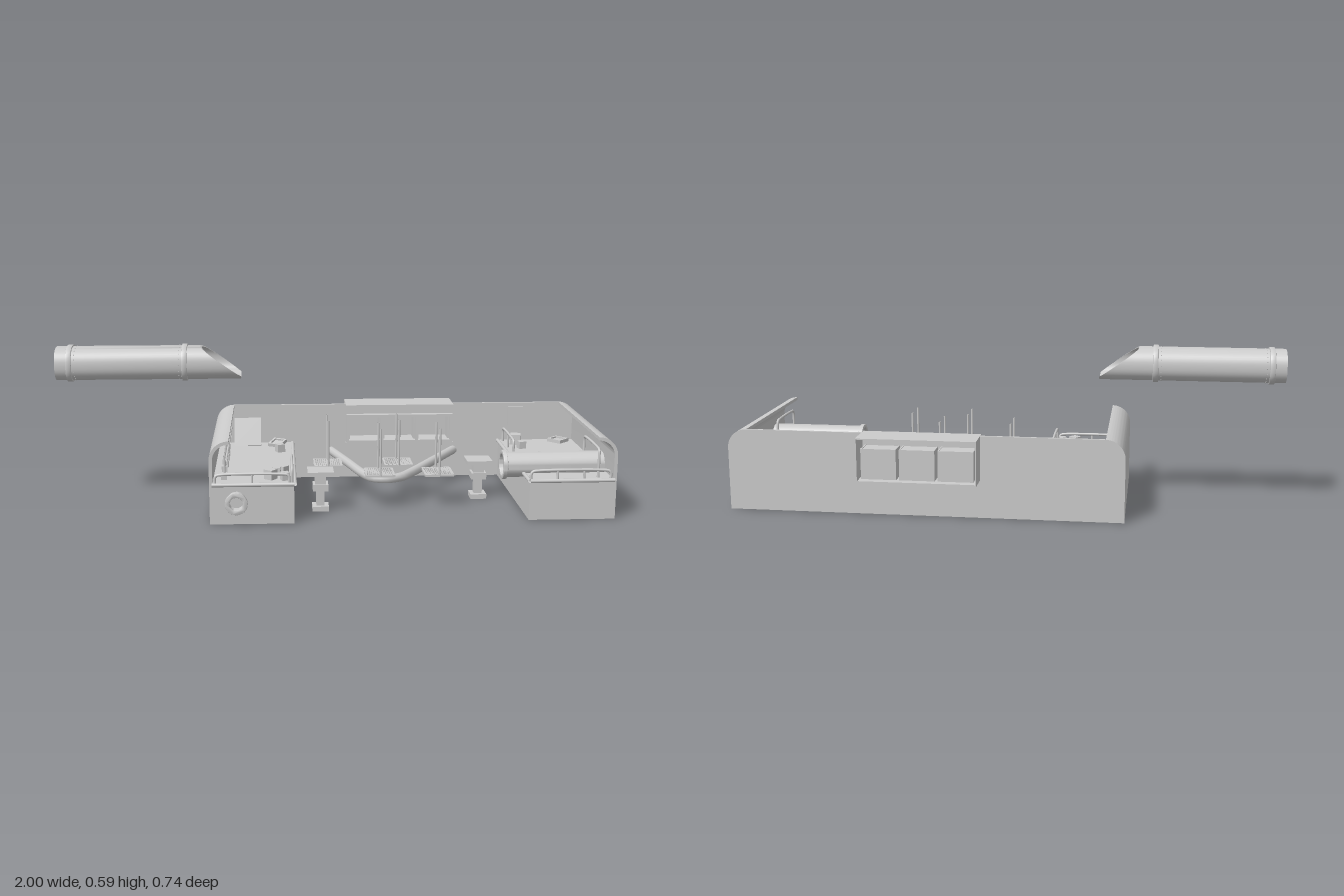
import * as THREE from 'three';
import { toCreasedNormals } from 'three/addons/utils/BufferGeometryUtils.js';

const grey = new THREE.MeshStandardMaterial({ color: 0xcccccc, side: THREE.DoubleSide });

function add(parent, name, geo, x = 0, y = 0, z = 0) {
  const m = new THREE.Mesh(geo, grey);
  m.name = name;
  m.position.set(x, y, z);
  parent.add(m);
  return m;
}

function group(parent, name, x = 0, y = 0, z = 0) {
  const g = new THREE.Group();
  g.name = name;
  g.position.set(x, y, z);
  parent.add(g);
  return g;
}

// Box given by its limits
function span(parent, name, x0, x1, y0, y1, z0, z1) {
  return add(parent, name, new THREE.BoxGeometry(x1 - x0, y1 - y0, z1 - z0),
    (x0 + x1) / 2, (y0 + y1) / 2, (z0 + z1) / 2);
}

// Round bar along a smooth curve through a few points
function bar(parent, name, pts, r, segments = 48) {
  const path = new THREE.CatmullRomCurve3(pts.map(p => new THREE.Vector3(...p)), false, 'centripetal');
  return add(parent, name, new THREE.TubeGeometry(path, pts.length > 2 ? segments : 1, r, 10));
}

// Closed oval outline; power 2 is an ellipse, higher is squarer
function oval(a, b, power) {
  const pts = [];
  for (let i = 0; i < 40; i++) {
    const t = i / 40 * Math.PI * 2, c = Math.cos(t), s = Math.sin(t);
    pts.push(new THREE.Vector2(a * Math.sign(c) * Math.abs(c) ** (2 / power),
      b * Math.sign(s) * Math.abs(s) ** (2 / power)));
  }
  return pts;
}

// Hollow pipe along +z with wall thickness t and an optional rounded rim
function pipeGeo(a, b, t, length, power = 2, rim = 0) {
  const s = new THREE.Shape(oval(a - rim, b - rim, power));
  s.holes.push(new THREE.Path(oval(a - t, b - t, power)));
  return new THREE.ExtrudeGeometry(s, {
    depth: length, bevelEnabled: rim > 0, bevelSize: rim, bevelThickness: rim, bevelSegments: 2,
  });
}
const smoothEdges = g => toCreasedNormals(g, 0.7);

// Side wall whose top curls inward; dir points into the deck
function sideWall(parent, x, dir) {
  const s = new THREE.Shape();
  s.moveTo(0, 0);
  s.lineTo(0, 0.23);
  s.absarc(0.07, 0.23, 0.07, Math.PI, Math.PI / 2, true);
  s.lineTo(0.07, 0.288);
  s.absarc(0.07, 0.23, 0.058, Math.PI / 2, Math.PI, false);
  s.lineTo(0.012, 0);
  const g = new THREE.ExtrudeGeometry(s, { depth: 0.602, bevelEnabled: false, curveSegments: 12 });
  if (dir < 0) g.rotateY(Math.PI);
  add(parent, 'sideWall', smoothEdges(g), x, 0, dir < 0 ? 0.327 : -0.275);
}

// Hoop railing with rounded corners between two deck points
function railing(parent, a, b, top, posts) {
  const g = group(parent, 'railing');
  const at = (t, y) => [a[0] + (b[0] - a[0]) * t, y, a[1] + (b[1] - a[1]) * t];
  const bend = top - 0.012;
  bar(g, 'hoop', [at(0, 0.145), at(0, bend), at(0.02, top - 0.003), at(0.07, top), at(0.93, top),
    at(0.98, top - 0.003), at(1, bend), at(1, 0.145)], 0.005);
  for (let i = 1; i < posts; i++) bar(g, 'post', [at(i / posts, 0.145), at(i / posts, top)], 0.004);
}

// Small square table on a stepped column
function pedestalTable(parent, x, z) {
  const g = group(parent, 'pedestalTable', x, 0, z);
  span(g, 'tableTop', -0.0475, 0.0475, 0.135, 0.15, -0.0425, 0.0425);
  for (const [half, y0, y1] of [[0.02, 0.1, 0.135], [0.028, 0.075, 0.1], [0.015, 0.018, 0.075], [0.03, 0, 0.018]])
    span(g, 'column', -half, half, y0, y1, -half, half);
}

// Hanging grate: diagonal slats in a frame, held by two rods
function hangingGrate(parent, x, z) {
  const g = group(parent, 'hangingGrate', x, 0.125, z);
  const h = 0.051;
  for (const s of [-1, 1]) {
    span(g, 'frame', -h, h, -0.004, 0.004, s * h - 0.003, s * h + 0.003);
    span(g, 'frame', s * h - 0.003, s * h + 0.003, -0.004, 0.004, -h, h);
    bar(g, 'rod', [[0, 0, s * h], [0, 0.177, s * h]], 0.004);
    for (let i = -6; i <= 6; i++) {
      const c = i * 0.0145;
      const slat = add(g, 'slat', new THREE.BoxGeometry((2 * h - Math.abs(c)) * Math.SQRT2, 0.008, 0.0045),
        c / 2, 0, -s * c / 2);
      slat.rotation.y = -s * Math.PI / 4;
    }
  }
}

// Flat panel with a raised rim, turned about the vertical and tipped
function rimmedPanel(parent, x, y, z, w, d, turn, tip) {
  const g = group(parent, 'rimmedPanel', x, y, z);
  g.rotation.set(tip, turn, 0, 'YXZ');
  span(g, 'panel', -w / 2, w / 2, -0.004, 0.003, -d / 2, d / 2);
  for (const s of [-1, 1]) {
    span(g, 'rim', -w / 2, w / 2, -0.004, 0.009, s * (d / 2 - 0.004) - 0.004, s * (d / 2 - 0.004) + 0.004);
    span(g, 'rim', s * (w / 2 - 0.004) - 0.004, s * (w / 2 - 0.004) + 0.004, -0.004, 0.009, -d / 2, d / 2);
  }
}

export function createModel() {
  const root = new THREE.Group();
  root.name = 'deckSet';

  // Raised decks with edge trim
  for (const [x0, x1, edge] of [[-0.43, -0.143, -0.14], [0.69, 0.99, 0.687]]) {
    span(root, 'deck', x0, x1, 0, 0.147, -0.27, 0.327);
    bar(root, 'edgeTrim', [[edge, 0.146, -0.265], [edge, 0.146, 0.337]], 0.007);
    bar(root, 'edgeTrim', [[x0, 0.146, 0.337], [x1, 0.146, 0.337]], 0.007);
  }
  sideWall(root, -0.44, 1);
  sideWall(root, 1, -1);

  // Back wall with rounded top corners and an opening for the niches
  const wall = new THREE.Shape();
  wall.moveTo(-0.44, 0);
  wall.lineTo(-0.44, 0.23);
  wall.absarc(-0.37, 0.23, 0.07, Math.PI, Math.PI / 2, true);
  wall.absarc(0.93, 0.23, 0.07, Math.PI / 2, 0, true);
  wall.lineTo(1, 0);
  const hole = new THREE.Path();
  hole.moveTo(0.085, 0.152).lineTo(0.49, 0.152).lineTo(0.49, 0.25).lineTo(0.085, 0.25);
  wall.holes.push(hole);
  add(root, 'backWall', new THREE.ExtrudeGeometry(wall, { depth: 0.01, bevelEnabled: false }), 0, 0, -0.278);

  // Three-bay niche unit with an outer case open at the rear
  const niche = group(root, 'nicheUnit');
  span(niche, 'caseTop', 0.073, 0.502, 0.296, 0.3, -0.369, -0.245);
  span(niche, 'caseBottom', 0.073, 0.502, 0.14, 0.146, -0.369, -0.245);
  for (const x of [0.073, 0.498]) span(niche, 'caseSide', x, x + 0.004, 0.14, 0.3, -0.369, -0.27);
  for (const y of [0.146, 0.25]) span(niche, 'frameRail', 0.075, 0.5, y, y + 0.01, -0.278, -0.245);
  for (let i = 0; i < 4; i++) {
    const x = 0.075 + i * 0.138;
    span(niche, 'frameStile', x, x + 0.011, 0.146, 0.26, -0.278, -0.245);
    if (i === 3) break;
    span(niche, 'bayBack', x + 0.011, x + 0.138, 0.15, 0.258, -0.346, -0.34);
    for (const s of [0.011, 0.133]) span(niche, 'baySide', x + s, x + s + 0.005, 0.15, 0.258, -0.34, -0.27);
    for (const y of [0.148, 0.25]) span(niche, 'bayShelf', x + 0.011, x + 0.138, y, y + 0.006, -0.346, -0.27);
  }

  // Large overhead pipe with a slanted mouth, riveted collars
  const big = group(root, 'overheadPipe', 0, 0.525, 0.013);
  const body = pipeGeo(0.07, 0.061, 0.005, 0.6, 2.4).rotateY(Math.PI / 2).translate(-1, 0, 0);
  const p = body.attributes.position;
  for (let i = 0; i < p.count; i++)
    if (p.getX(i) > -0.7) p.setX(i, Math.min(-0.331, -0.48 + 0.15 * (0.061 - p.getY(i)) / 0.108));
  add(big, 'pipeBody', smoothEdges(body));
  for (const [x, side] of [[-0.95, 1], [-0.535, -1]]) {
    const collar = pipeGeo(0.076, 0.067, 0.009, 0.014, 2.4, 0.003).rotateY(Math.PI / 2);
    add(big, 'collar', smoothEdges(collar), x - 0.007, 0, 0);
    oval(0.07, 0.061, 2.4).forEach((q, i) => {
      if (i % 2 === 0) add(big, 'rivet', new THREE.SphereGeometry(0.002, 6, 4), x + side * 0.02, q.y, q.x);
    });
  }

  // Pipe lying on one deck, and the port on the front of the other
  const lying = group(root, 'deckPipe', 0.62, 0.17, 0.195);
  add(lying, 'pipeBody', smoothEdges(pipeGeo(0.046, 0.046, 0.005, 0.36).rotateY(Math.PI / 2)));
  add(lying, 'lip', smoothEdges(pipeGeo(0.053, 0.053, 0.012, 0.01, 2, 0.003).rotateY(Math.PI / 2)), -0.005, 0, 0);
  add(root, 'portPipe', smoothEdges(pipeGeo(0.034, 0.034, 0.008, 0.04)), -0.345, 0.085, 0.325);
  add(root, 'portLip', smoothEdges(pipeGeo(0.04, 0.04, 0.014, 0.006, 2, 0.003)), -0.345, 0.085, 0.36);

  // V-shaped tube running out from the wall
  bar(root, 'loopTube', [[0.015, 0.11, -0.268], [0.07, 0.11, -0.085], [0.122, 0.11, 0.09], [0.15, 0.11, 0.14],
    [0.2, 0.11, 0.155], [0.25, 0.11, 0.135], [0.29, 0.11, 0.085], [0.4, 0.11, -0.09], [0.505, 0.11, -0.26]], 0.017);

  for (const [x, z] of [[-0.01, -0.02], [0.256, -0.02], [0.174, 0.123], [0.39, 0.123]]) hangingGrate(root, x, z);
  pedestalTable(root, -0.045, 0.163);
  pedestalTable(root, 0.556, 0.033);

  // Railings
  railing(root, [-0.15, 0.13], [-0.15, 0.32], 0.2, 2);
  railing(root, [-0.42, 0.318], [-0.16, 0.318], 0.178, 2);
  railing(root, [0.705, -0.25], [0.705, -0.04], 0.2, 2);
  railing(root, [0.695, 0.318], [0.98, 0.318], 0.178, 3);
  railing(root, [0.94, 0.1], [0.94, 0.3], 0.25, 1);

  // Tools hung along the inside of the curled wall
  bar(root, 'wallRail', [[-0.38, 0.225, -0.2], [-0.38, 0.225, 0.3]], 0.004);
  for (let i = 0; i < 9; i++) {
    const z = -0.18 + i * 0.055, low = 0.185 - 0.012 * (i % 3);
    bar(root, 'toolHandle', [[-0.388, low, z], [-0.388, 0.23, z]], 0.004);
    span(root, 'toolHead', -0.4, -0.38, low - 0.015, low + 0.008, z - 0.012, z + 0.012);
  }

  // Leaning board, wall door, panels and loose items on the decks
  const board = add(root, 'leaningBoard', new THREE.BoxGeometry(0.105, 0.11, 0.008), -0.317, 0.199, -0.238);
  board.rotation.x = -0.38;
  span(root, 'wallDoor', 0.725, 0.785, 0.205, 0.285, -0.268, -0.258);
  rimmedPanel(root, -0.2, 0.16, -0.2, 0.055, 0.055, -0.5, 0.2);
  rimmedPanel(root, 0.878, 0.153, 0.035, 0.1, 0.07, -0.4, 0);
  rimmedPanel(root, 0.915, 0.16, -0.195, 0.06, 0.06, 0.75, 0);
  const items = [[-0.19, -0.12, 0.03], [-0.225, 0.265, 0.035], [-0.205, 0.215, 0.03], [-0.175, 0.28, 0.028],
    [-0.18, 0.2, 0.03], [0.745, -0.2, 0.04], [0.755, -0.13, 0.028]];
  items.forEach(([x, z, s], i) => {
    const b = add(root, 'crate', new THREE.BoxGeometry(s, s, s), x, 0.147 + s / 2, z);
    b.rotation.y = 0.4 + i * 0.5;
  });
  return root;
}
